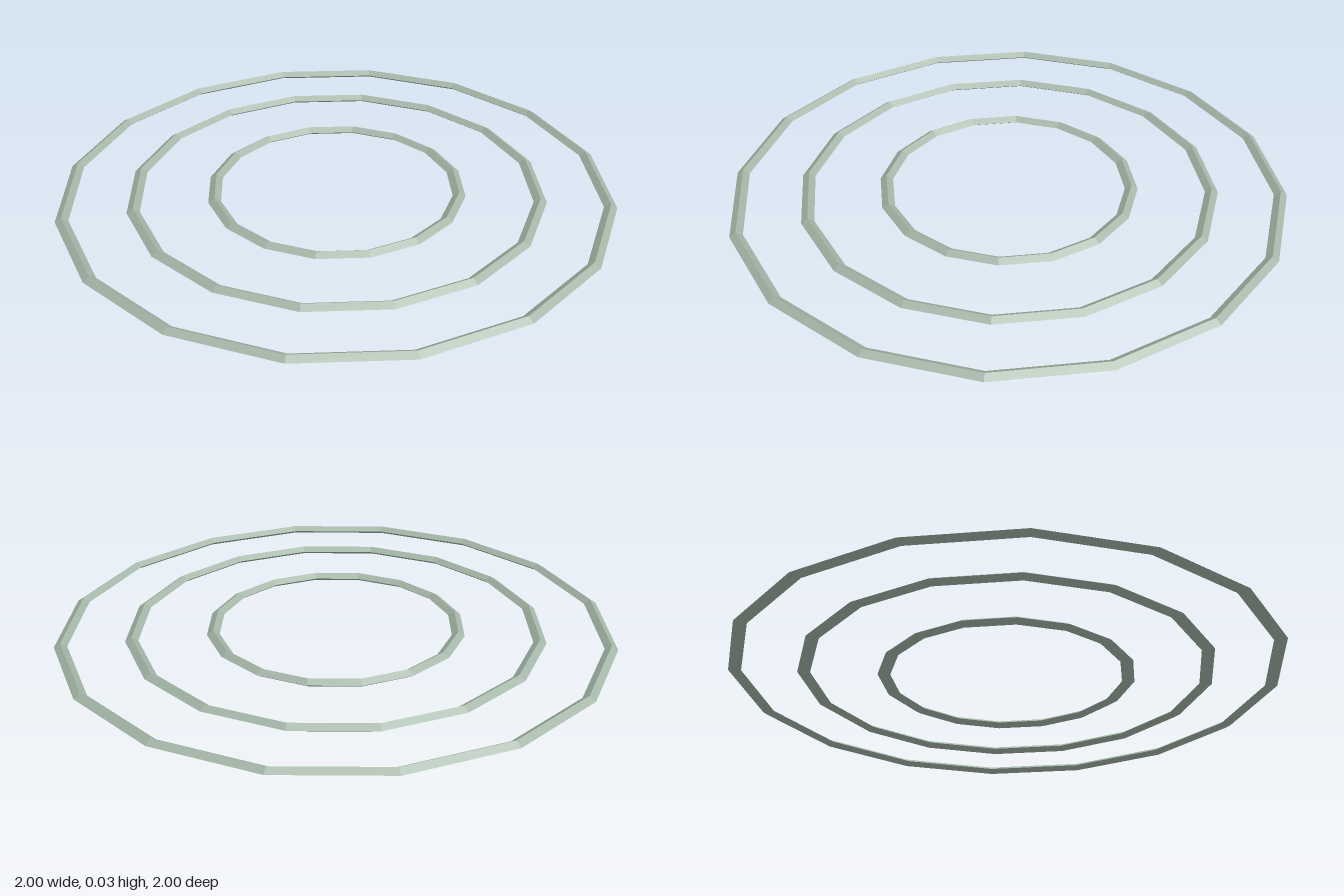
import * as THREE from 'three';

const TUBE = 0.023;        // half width of the diamond section
const HALF_HEIGHT = 0.015; // half height of the diamond section
const SIDES = 16;

export function createModel() {
  const group = new THREE.Group();
  group.name = 'concentricRings';
  const material = new THREE.MeshStandardMaterial({ color: 0xa3b5a6, flatShading: true });

  // Flat-lying faceted ring with a flattened diamond section, resting on the ground
  const addRing = (name, outerRadius) => {
    const geometry = new THREE.TorusGeometry(outerRadius - TUBE, TUBE, 4, SIDES);
    geometry.rotateX(-Math.PI / 2);
    geometry.scale(1, HALF_HEIGHT / TUBE, 1);
    geometry.translate(0, HALF_HEIGHT, 0);
    const ring = new THREE.Mesh(geometry, material);
    ring.name = name;
    group.add(ring);
  };

  addRing('outerRing', 1);
  addRing('middleRing', 0.755);
  addRing('innerRing', 0.468);

  return group;
}
